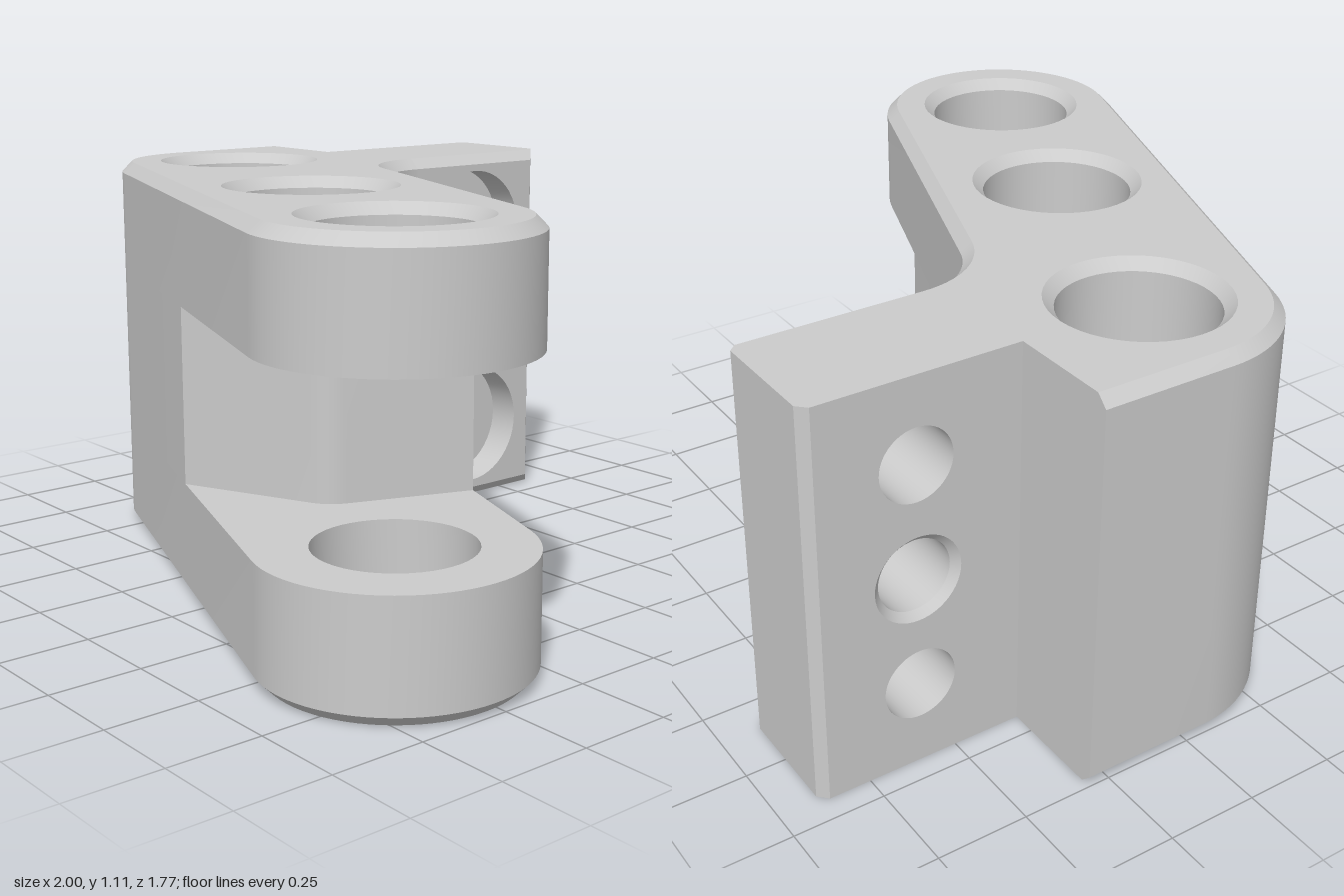
import * as THREE from 'three';
import { mergeGeometries, toCreasedNormals } from 'three/addons/utils/BufferGeometryUtils.js';

const V = (u, v) => new THREE.Vector2(u, v);
const H = 1.105, C = 0.03;            // height, edge chamfer
const SLOT0 = 0.315, SLOT1 = 0.795;   // slot floor and ceiling
const BORE = 0.205, R = 0.35;         // pin bore, arm end radius
const A = V(-0.65, -0.055), M = V(0.055, -0.32), B = V(0.65, -0.535); // bores, v = -z
const th = Math.atan2(A.y - B.y, B.x - A.x), PI = Math.PI;

// Planes: (u, v, h) to world, h is the height along the plane's normal
const plan = (u, v, h) => [u, h, -v];
const side = (u, v, h) => [h, v, -u];

function arc(c, r, a0, a1, n) {
  return Array.from({ length: n + 1 }, (_, i) => {
    const a = a0 + (a1 - a0) * i / n;
    return V(c.x + r * Math.cos(a), c.y + r * Math.sin(a));
  });
}
const circle = (c, r) => arc(c, r, 0, 2 * PI, 48).slice(0, -1);

function geometry(pos) {
  const g = new THREE.BufferGeometry();
  g.setAttribute('position', new THREE.Float32BufferAttribute(pos, 3));
  return g;
}

// Wall through successive [outline, height] levels; inward for bores
function wall(map, levels, inward = false) {
  const pos = [];
  for (let k = 0; k + 1 < levels.length; k++) {
    const [p, h0] = levels[k], [q, h1] = levels[k + 1];
    p.forEach((_, i) => {
      const j = (i + 1) % p.length;
      const a = map(p[i].x, p[i].y, h0), b = map(p[j].x, p[j].y, h0);
      const c = map(q[j].x, q[j].y, h1), d = map(q[i].x, q[i].y, h1);
      pos.push(...(inward ? [a, c, b, a, d, c] : [a, b, c, a, c, d]).flat());
    });
  }
  return geometry(pos);
}
const bore = (map, c, levels) => wall(map, levels.map(([r, h]) => [circle(c, r), h]), true);

// Flat face with holes, facing along +h or -h
function face(map, outline, holes, h, up) {
  const shape = new THREE.Shape(outline);
  holes.forEach(([c, r]) => shape.holes.push(new THREE.Path(circle(c, r))));
  const g = new THREE.ShapeGeometry(shape), p = g.attributes.position, idx = [...g.index.array];
  if (!up) idx.reverse();
  return geometry(idx.flatMap(i => map(p.getX(i), p.getY(i), h)));
}

function part(name, geometries) {
  const mesh = new THREE.Mesh(
    toCreasedNormals(mergeGeometries(geometries), 0.5),
    new THREE.MeshStandardMaterial({ color: 0xcccccc }));
  mesh.name = name;
  return mesh;
}

// Fillet between the arm and the mounting plate
const PX0 = -0.685, PX1 = -0.31, FR = 0.245;
const ft = (B.x + (R + FR) * Math.sin(th) - PX1 - FR) / Math.cos(th);
const F = V(PX1 + FR, B.y + (R + FR) * Math.cos(th) + ft * Math.sin(th));

// Plan outline inset by c, split so the slotted layer can share it
const BACK = 0.31;
const start = c => [V(-1 + c, BACK), ...arc(A, R - c, PI, 1.5 * PI - th, 16)];
const tip = c => arc(B, R - c, -PI / 2 - th, PI / 2 - th, 36);
const end = c => [...arc(F, FR + c, 1.5 * PI - th, PI, 14), V(PX0, F.y), V(PX0, BACK)];
const outline = c => [...start(c), ...tip(c), ...end(c)];

// Slot wall: 45 degree face, rounded corner, then square to the arm
const edge = (x, s) => V(x, B.y - (x - B.x) * Math.tan(th) + s * R / Math.cos(th));
const corner = V(0.294, -0.457), s0 = edge(-0.105, -1), s1 = edge(0.43, 1);
const near = p => corner.clone().add(p.clone().sub(corner).setLength(0.05));
const slotWall = [s0,
  ...new THREE.QuadraticBezierCurve(near(s0), corner, near(s1)).getPoints(6), s1];

function body() {
  const parts = [];
  const full = outline(0), inset = outline(C);
  const ends = [A, M, B].map(c => [c, BORE + C]);
  const fork = [...tip(0), ...[...slotWall].reverse()];
  // Outer walls: lower arm, slotted middle, upper arm
  parts.push(wall(plan, [[inset, 0], [full, C], [full, SLOT0]]));
  parts.push(wall(plan, [[full, SLOT1], [full, H - C], [inset, H]]));
  const mid = [...start(0), ...slotWall, ...end(0)];
  parts.push(wall(plan, [[mid, SLOT0], [mid, SLOT1]]));
  // Top, bottom and slot faces
  parts.push(face(plan, inset, ends, 0, false), face(plan, inset, ends, H, true));
  parts.push(face(plan, fork, [[B, BORE]], SLOT0, true));
  parts.push(face(plan, fork, [[B, BORE]], SLOT1, false));
  // Pin bores with chamfered mouths
  const low = [[BORE + C, 0], [BORE, C]], high = [[BORE, H - C], [BORE + C, H]];
  for (const c of [A, M]) parts.push(bore(plan, c, [...low, ...high]));
  parts.push(bore(plan, B, [...low, [BORE, SLOT0]]), bore(plan, B, [[BORE, SLOT1], ...high]));
  return part('clevisBody', parts);
}

function plate() {
  const parts = [], zBack = 0.89;
  const rect = (s, c) => [V(F.y, c), V(s, c), V(s, H - c), V(F.y, H - c)];
  const screws = [V(0.6, 0.24), V(0.6, 0.87)], dowel = V(0.6, H / 2);
  const r = 0.1, rHead = 0.185, seat = PX1 - 0.1, dowelEnd = PX0 + 0.25;
  // Plate walls with chamfered corners
  parts.push(wall(side, [
    [rect(zBack - 0.025, 0), PX0], [rect(zBack, 0), PX0 + 0.025],
    [rect(zBack, 0), PX1 - 0.05], [rect(zBack - 0.02, 0), PX1 - C],
    [rect(zBack - 0.05, C), PX1]]));
  parts.push(face(side, rect(zBack - 0.025, 0),
    [...screws.map(c => [c, r]), [dowel, r + 0.02]], PX0, false));
  parts.push(face(side, rect(zBack - 0.05, C), screws.map(c => [c, rHead]), PX1, true));
  // Counterbored screw holes
  for (const c of screws) {
    parts.push(bore(side, c, [[r, PX0], [r, seat]]), bore(side, c, [[rHead, seat], [rHead, PX1]]));
    parts.push(face(side, circle(c, rHead), [[c, r]], seat, true));
  }
  // Blind dowel hole
  parts.push(bore(side, dowel, [[r + 0.02, PX0], [r, PX0 + 0.02], [r, dowelEnd]]));
  parts.push(face(side, circle(dowel, r), [], dowelEnd, false));
  return part('mountingPlate', parts);
}

export function createModel() {
  const group = new THREE.Group();
  group.name = 'clevisBracket';
  group.add(body(), plate());
  return group;
}
